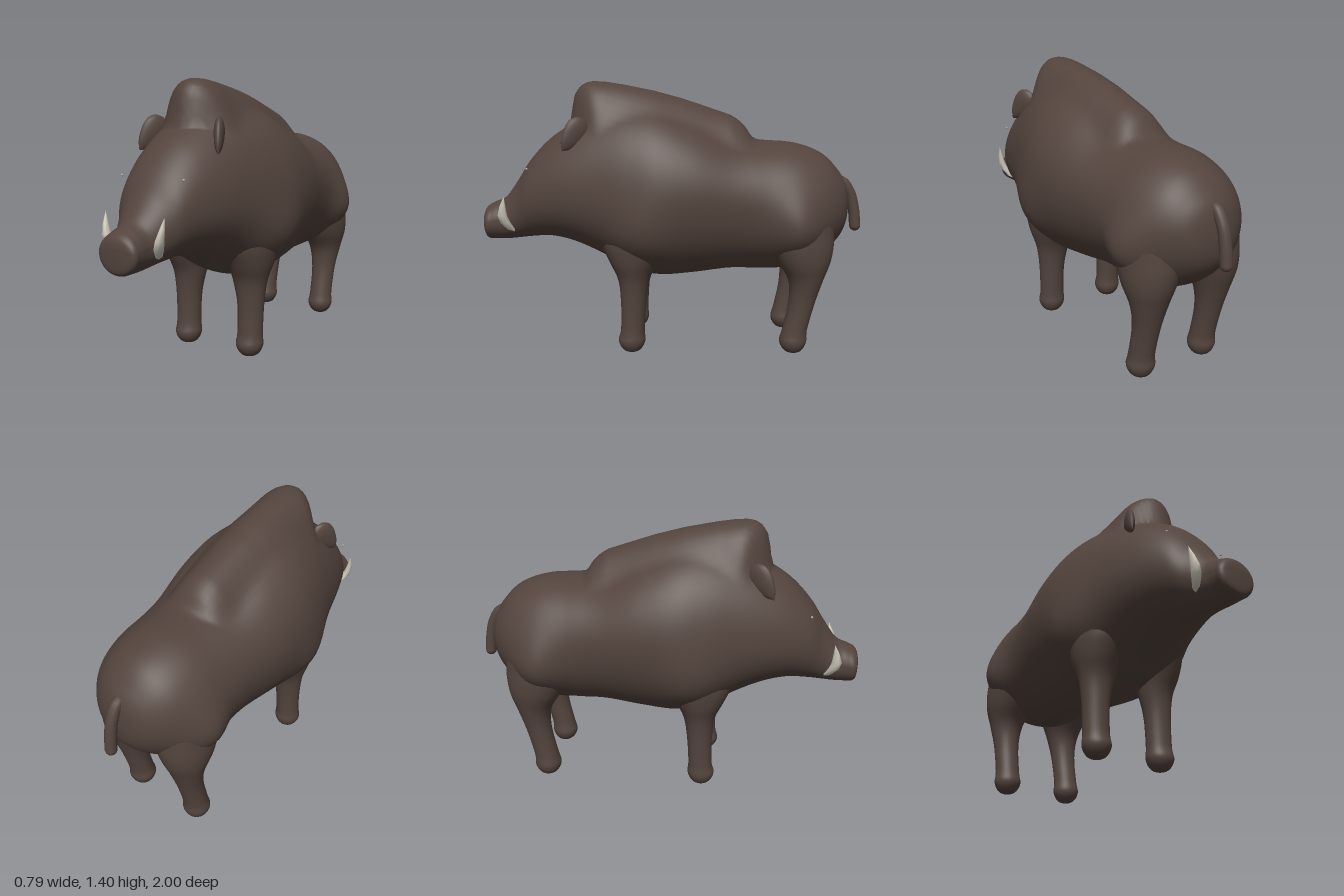
import * as THREE from 'three';

const hide = new THREE.MeshStandardMaterial({ name: 'darkBrownHide', color: 0x53443d });
const ivory = new THREE.MeshStandardMaterial({ name: 'ivory', color: 0xcfcabb });
const eyeGrey = new THREE.MeshStandardMaterial({ name: 'eyeGrey', color: 0xb0a8a0 });

// Smooth interpolation through rows of section numbers
function smoothRows(rows, steps) {
  const out = [];
  const at = i => rows[Math.max(0, Math.min(rows.length - 1, i))];
  for (let i = 0; i < rows.length - 1; i++) {
    for (let s = 0; s < steps; s++) {
      const t = s / steps;
      const [a, b, c, d] = [at(i - 1), at(i), at(i + 1), at(i + 2)];
      out.push(b.map((p, k) => {
        const m1 = (c[k] - a[k]) / 2, m2 = (d[k] - p) / 2;
        const t2 = t * t, t3 = t2 * t;
        return (2 * t3 - 3 * t2 + 1) * p + (t3 - 2 * t2 + t) * m1 + (3 * t2 - 2 * t3) * c[k] + (t3 - t2) * m2;
      }));
    }
  }
  out.push(at(rows.length - 1));
  return out;
}

// Closed skin over rings; place(row, cos, sin) returns one point
function loft(rows, place, sides = 28, steps = 5) {
  const rings = smoothRows(rows, steps), pos = [], idx = [];
  rings.forEach((row, i) => {
    for (let j = 0; j < sides; j++) {
      const a = j / sides * Math.PI * 2;
      pos.push(...place(row, Math.cos(a), Math.sin(a)));
      if (i < rings.length - 1) {
        const k = (j + 1) % sides, p = i * sides, q = p + sides;
        idx.push(p + j, p + k, q + k, p + j, q + k, q + j);
      }
    }
  });
  const g = new THREE.BufferGeometry();
  g.setAttribute('position', new THREE.Float32BufferAttribute(pos, 3));
  g.setIndex(idx);
  g.computeVertexNormals();
  return g;
}

// Crest of the shoulder hump: z, height
const crest = [
  [-0.95, 0.3], [-0.55, 0.85], [-0.45, 1.03], [-0.41, 1.1], [-0.38, 1.165], [-0.345, 1.2], [-0.3, 1.228],
  [-0.2, 1.262], [-0.05, 1.312], [0.1, 1.352], [0.25, 1.382], [0.35, 1.397], [0.41, 1.4], [0.45, 1.392],
  [0.48, 1.372], [0.505, 1.335], [0.52, 1.27], [0.53, 1.17], [0.55, 0.9], [2, 0.2],
];
function humpHeight(x, z) {
  // The hump ends in a rounded nose above the head
  const zn = z + 4 * x * x * THREE.MathUtils.smoothstep(z, 0.25, 0.5);
  const i = crest.findIndex(p => p[0] > zn);
  const [z0, h0] = crest[i - 1], [z1, h1] = crest[i];
  return THREE.MathUtils.mapLinear(zn, z0, z1, h0, h1) - 3.5 * x ** 2 - 70 * x ** 4;
}

// Row: z, bottom, top, half width, height of widest point
function bodyPoint([z, bot, top, w, mid], c, s) {
  let x = w * c, y = mid + s * (s > 0 ? top - mid : mid - bot);
  // Shoulders and haunches swell out above the legs
  for (const [amount, bz, by, rz] of [[0.08, -0.65, 0.62, 0.14], [0.05, 0.18, 0.57, 0.16]]) {
    x += c * amount * Math.exp(-(((z - bz) / rz) ** 2) - ((y - by) / 0.19) ** 2);
  }
  // The hump melts into the back
  if (s > 0) {
    const h = humpHeight(x, z), blend = 0.07;
    y = Math.max(y, h) + Math.max(0, blend - Math.abs(y - h)) ** 2 / (4 * blend);
  }
  return [x, y, z];
}

// Row: y, centre x, centre z, radius x, radius z
const alongY = ([y, cx, cz, rx, rz], c, s) => [cx + rx * c, y, cz - rz * s];

export function createModel() {
  const group = new THREE.Group();
  const add = (name, geometry, material = hide) => {
    const m = new THREE.Mesh(geometry, material);
    m.name = name;
    group.add(m);
    return m;
  };

  // Trunk, hump, head and snout in one skin
  add('body', loft([
    [-0.92, 0.752, 0.752, 0, 0.752],
    [-0.905, 0.65, 0.87, 0.1, 0.76],
    [-0.86, 0.57, 0.95, 0.18, 0.77],
    [-0.77, 0.49, 1.035, 0.25, 0.78],
    [-0.63, 0.43, 1.085, 0.3, 0.78],
    [-0.45, 0.42, 1.1, 0.322, 0.79],
    [-0.3, 0.42, 1.125, 0.342, 0.81],
    [-0.1, 0.395, 1.22, 0.378, 0.83],
    [0.07, 0.385, 1.28, 0.387, 0.83],
    [0.22, 0.42, 1.29, 0.36, 0.83],
    [0.38, 0.505, 1.255, 0.315, 0.83],
    [0.52, 0.565, 1.185, 0.275, 0.83],
    [0.64, 0.59, 1.105, 0.232, 0.825],
    [0.74, 0.585, 1.0, 0.187, 0.8],
    [0.81, 0.577, 0.895, 0.138, 0.73],
    [0.88, 0.57, 0.8, 0.108, 0.675],
    [0.94, 0.57, 0.77, 0.104, 0.668],
    [0.975, 0.572, 0.752, 0.102, 0.665],
    [0.993, 0.595, 0.725, 0.075, 0.665],
    [1.0, 0.665, 0.665, 0, 0.665],
  ], bodyPoint, 80, 9));

  for (const [side, s] of [['left', 1], ['right', -1]]) {
    // Legs, from the rounded foot up into the trunk
    add(side + 'FrontLeg', loft([
      [0.002, s * 0.19, 0.21, 0, 0],
      [0.018, s * 0.19, 0.21, 0.045, 0.045],
      [0.065, s * 0.19, 0.21, 0.07, 0.07],
      [0.13, s * 0.19, 0.205, 0.066, 0.062],
      [0.28, s * 0.19, 0.2, 0.07, 0.066],
      [0.4, s * 0.185, 0.197, 0.09, 0.083],
      [0.5, s * 0.188, 0.195, 0.117, 0.13],
      [0.61, s * 0.17, 0.18, 0.152, 0.19],
      [0.74, s * 0.14, 0.16, 0.17, 0.2],
      [0.85, s * 0.12, 0.15, 0, 0],
    ], alongY));
    add(side + 'BackLeg', loft([
      [0.002, s * 0.19, -0.63, 0, 0],
      [0.018, s * 0.19, -0.63, 0.045, 0.045],
      [0.065, s * 0.19, -0.63, 0.07, 0.07],
      [0.13, s * 0.19, -0.638, 0.064, 0.064],
      [0.28, s * 0.19, -0.67, 0.068, 0.068],
      [0.4, s * 0.19, -0.685, 0.09, 0.09],
      [0.51, s * 0.185, -0.67, 0.125, 0.142],
      [0.63, s * 0.165, -0.645, 0.152, 0.18],
      [0.76, s * 0.14, -0.62, 0.16, 0.18],
      [0.88, s * 0.12, -0.6, 0, 0],
    ], alongY));

    // Leaf-shaped ear leaning back, its broad face turned forward and inward
    const ear = add(side + 'Ear', loft([
      [-0.1, 0, 0, 0, 0],
      [-0.06, 0, 0, 0.016, 0.035],
      [0, 0, 0, 0.024, 0.06],
      [0.05, 0, 0, 0.024, 0.062],
      [0.085, 0, 0, 0.015, 0.04],
      [0.1, 0, 0, 0, 0],
    ], alongY, 20));
    ear.position.set(s * 0.193, 1.137, 0.49);
    ear.rotation.set(-0.7, s * 0.5, 0, 'YXZ');

    // Eye
    add(side + 'Eye', new THREE.SphereGeometry(0.006, 10, 8), eyeGrey).position.set(s * 0.172, 0.965, 0.735);

    // Blade-like tusk curving out and up
    add(side + 'Tusk', loft([
      [0.625, s * 0.1, 0.825, 0, 0],
      [0.64, s * 0.112, 0.84, 0.014, 0.02],
      [0.68, s * 0.132, 0.866, 0.021, 0.027],
      [0.72, s * 0.146, 0.877, 0.018, 0.026],
      [0.77, s * 0.156, 0.871, 0.011, 0.016],
      [0.822, s * 0.163, 0.86, 0, 0],
    ], alongY, 7, 1), ivory);
  }

  // Hanging tail with a rounded tip
  const tailPath = new THREE.CatmullRomCurve3([
    [0, 0.87, -0.84], [0, 0.88, -0.89], [0, 0.82, -0.935], [0, 0.73, -0.96], [0, 0.645, -0.97],
  ].map(p => new THREE.Vector3(...p)));
  add('tail', new THREE.TubeGeometry(tailPath, 24, 0.029, 14));
  add('tailTip', new THREE.SphereGeometry(0.029, 14, 10)).position.set(0, 0.645, -0.97);

  return group;
}
